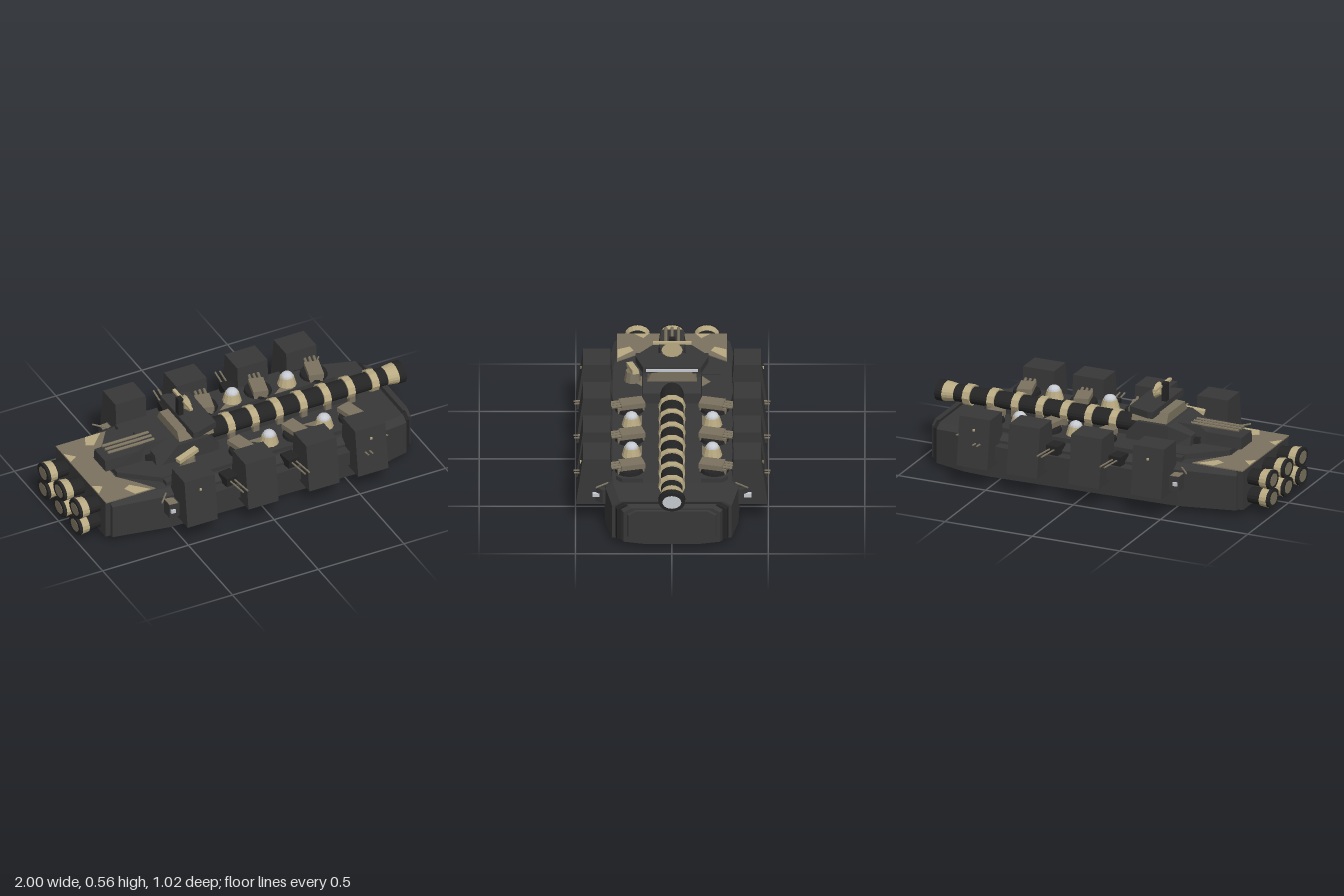
import * as THREE from 'three';

const mat = (name, color, extra = {}) => {
  const m = new THREE.MeshStandardMaterial({ color, flatShading: true, ...extra });
  m.name = name;
  return m;
};

export function createModel() {
  const root = new THREE.Group();
  root.name = 'armouredCarrier';
  const dark = mat('charcoal', 0x383838);
  const black = mat('black', 0x242424);
  const drab = mat('drab', 0x7b725f);
  const sand = mat('sand', 0xb9aa82);
  const glass = mat('paleGlass', 0xc6c9cf);

  const add = (name, geo, m, x = 0, y = 0, z = 0, parent = root) => {
    const mesh = new THREE.Mesh(geo, m);
    mesh.name = name;
    mesh.position.set(x, y, z);
    parent.add(mesh);
    return mesh;
  };
  // box given by its bounds
  const box = (name, m, x0, x1, y0, y1, z0, z1, parent) =>
    add(name, new THREE.BoxGeometry(Math.abs(x1 - x0), y1 - y0, Math.abs(z1 - z0)), m,
      (x0 + x1) / 2, (y0 + y1) / 2, (z0 + z1) / 2, parent);
  // slightly flattened tube along x from x0 (radius r0) to x1 (radius r1)
  const tubeX = (name, m, x0, x1, r0, r1, y, z, flat = 0.8, sides = 16) => {
    const g = new THREE.CylinderGeometry(r1, r0, x1 - x0, sides).rotateZ(-Math.PI / 2).scale(1, flat, 1);
    return add(name, g, m, (x0 + x1) / 2, y, z);
  };
  // outline in (z, y) extruded along x
  const prismX = (name, m, pts, x0, x1) => {
    const shape = new THREE.Shape(pts.map(p => new THREE.Vector2(...p)));
    const g = new THREE.ExtrudeGeometry(shape, { depth: x1 - x0, bevelEnabled: false });
    g.translate(0, 0, -(x1 - x0) / 2).rotateY(-Math.PI / 2);
    return add(name, g, m, (x0 + x1) / 2, 0, 0);
  };
  // outline in (x, z) extruded upwards
  const plate = (name, m, pts, y, h) => {
    const shape = new THREE.Shape(pts.map(([x, z]) => new THREE.Vector2(x, -z)));
    const g = new THREE.ExtrudeGeometry(shape, { depth: h, bevelEnabled: false }).rotateX(-Math.PI / 2);
    return add(name, g, m, 0, y, 0);
  };
  // outline mirrored across the centre line
  const both = pts => [...pts, ...pts.map(([x, z]) => [x, -z]).reverse()];
  // mirrored cross-sections [x, [[z, y] bottom to top]] skinned along x
  const loft = (name, m, sections) => {
    const rings = sections.map(([x, half]) =>
      [...half, ...half.map(([z, y]) => [-z, y]).reverse()].map(([z, y]) => [x, y, z]));
    const n = rings[0].length, pos = [];
    const tri = (...v) => v.forEach(p => pos.push(...p));
    for (let s = 0; s < rings.length - 1; s++) {
      for (let i = 0; i < n; i++) {
        const j = (i + 1) % n, a = rings[s], b = rings[s + 1];
        tri(a[i], b[i], b[j]);
        tri(a[i], b[j], a[j]);
      }
    }
    const first = rings[0], last = rings[rings.length - 1];
    for (let i = 1; i < n - 1; i++) {
      tri(first[0], first[i], first[i + 1]);
      tri(last[0], last[i + 1], last[i]);
    }
    const g = new THREE.BufferGeometry();
    g.setAttribute('position', new THREE.Float32BufferAttribute(pos, 3));
    g.computeVertexNormals();
    return add(name, g, m);
  };

  // Hull with stepped nose
  const section = (x, w, bottom, top, keel = w * 0.52, low = bottom + 0.015) =>
    [x, [[keel, bottom], [w, low], [w, top - 0.025], [w - 0.04, top]]];
  loft('hull', dark, [
    section(-0.84, 0.30, 0.02, 0.25, 0.22), section(-0.52, 0.345, 0.01, 0.25),
    section(0.55, 0.35, 0, 0.25), section(0.70, 0.345, 0.003, 0.25), section(0.87, 0.31, 0.01, 0.238),
  ]);
  loft('noseStep', black, [section(0.86, 0.295, 0.015, 0.236), section(0.90, 0.285, 0.02, 0.232)]);
  loft('nosePlate', dark, [section(0.89, 0.268, 0.012, 0.236), section(0.925, 0.25, 0.015, 0.228)]);
  loft('nosePanel', dark, [section(0.92, 0.235, 0.045, 0.222), section(0.935, 0.225, 0.05, 0.215)]);
  box('sternPlate', dark, -0.87, -0.83, 0.035, 0.25, -0.28, 0.28);

  // Camouflaged stern deck
  plate('sternDeck', drab, both([[-0.87, -0.285], [-0.58, -0.285], [-0.64, -0.2], [-0.72, -0.1]]), 0.249, 0.006);
  for (const s of [1, -1]) {
    plate('sternPatch', sand, [[-0.70, s * 0.283], [-0.61, s * 0.283], [-0.69, s * 0.2], [-0.73, s * 0.22]], 0.2545, 0.003);
    plate('sternEdgePatch', sand, [[-0.868, s * 0.12], [-0.868, s * 0.2], [-0.82, s * 0.15]], 0.2545, 0.003);
  }

  // Engines: two rows of three
  for (const y of [0.19, 0.088]) {
    for (const z of [-0.18, 0, 0.18]) {
      tubeX('engineBody', black, -0.945, -0.85, 0.056, 0.05, y, z);
      tubeX('engineBand', sand, -0.982, -0.94, 0.065, 0.06, y, z);
      tubeX('engineRim', black, -0.998, -0.98, 0.064, 0.064, y, z);
      tubeX('engineGlow', drab, -1.0, -0.99, 0.042, 0.042, y, z);
    }
  }

  // Aft deckhouse and raised side decks
  plate('aftDeckhouse', dark, both([[-0.71, -0.1], [-0.52, -0.25], [-0.4, -0.25]]), 0.249, 0.03);
  for (const s of [1, -1]) {
    plate('sideDeck', dark, [[-0.52, s * 0.29], [0.66, s * 0.29], [0.69, s * 0.26], [0.69, s * 0.15], [-0.52, s * 0.15]], 0.249, 0.024);
    for (const x of [0.07, 0.39, -0.34]) {
      plate('deckPatch', drab, [[x - 0.05, s * 0.155], [x + 0.06, s * 0.155], [x + 0.01, s * 0.2]], 0.272, 0.003);
    }
  }

  // Side sponsons, armoured pods and guns
  for (const s of [1, -1]) {
    const sponson = plate('sponson', dark, [[-0.56, s * 0.31], [-0.56, s * 0.40], [-0.50, s * 0.405], [0.66, s * 0.405], [0.70, s * 0.36], [0.70, s * 0.31]], 0.13, 0.08);
    sponson.name = s > 0 ? 'leftSponson' : 'rightSponson';
    plate('sponsonPatch', drab, [[-0.558, s * 0.33], [-0.558, s * 0.398], [-0.51, s * 0.403], [-0.51, s * 0.35]], 0.209, 0.004);
    for (const x of [-0.54, 0.675]) box('sideLamp', glass, x - 0.012, x + 0.012, 0.16, 0.18, s * 0.37, s * 0.412);
    for (const x of [-0.415, -0.06, 0.295, 0.58]) {
      prismX('armourPod', dark, [[s * 0.30, 0.11], [s * 0.498, 0.11], [s * 0.462, 0.375], [s * 0.32, 0.375]], x - 0.088, x + 0.088);
    }
    for (const x of [-0.415, 0.58]) box('podMark', sand, x - 0.006, x + 0.006, 0.305, 0.317, s * 0.47, s * 0.476);
    for (const x of [-0.19, 0.17, 0.54]) {
      const gun = new THREE.Group();
      gun.name = 'sideGun';
      gun.position.set(x, 0.24, s * 0.35);
      gun.rotation.y = s * 0.12;
      box('gunMount', black, -0.035, 0.035, -0.04, 0.02, -0.04, 0.04, gun);
      for (const d of [-0.013, 0.013]) {
        add('gunBarrel', new THREE.CylinderGeometry(0.005, 0.005, 0.16, 6).rotateX(Math.PI / 2), drab, d, 0, s * 0.08, gun);
      }
      root.add(gun);
    }
    for (const [x, d] of [[-0.57, -1], [0.69, 1]]) {
      const rod = add('cornerGun', new THREE.CylinderGeometry(0.005, 0.005, 0.09, 6).rotateX(Math.PI / 2), drab, x, 0.235, s * 0.36);
      rod.rotation.y = s * d * 0.7;
    }
  }

  // Deck turrets and sensor domes
  for (const s of [1, -1]) {
    for (const x of [-0.04, 0.275, 0.60]) {
      add('turretRing', new THREE.CylinderGeometry(0.07, 0.075, 0.022, 16), black, x, 0.28, s * 0.22);
      const turret = new THREE.Group();
      turret.name = 'deckTurret';
      turret.position.set(x, 0.29, s * 0.22);
      turret.rotation.y = s * 0.25;
      box('turretBase', drab, -0.035, 0.035, -0.015, 0.012, -0.07, 0.07, turret);
      const house = box('turretHouse', drab, -0.04, 0.04, 0.005, 0.032, -0.075, 0.05, turret);
      house.position.z = -s * 0.012;
      for (const d of [-0.025, 0, 0.025]) {
        add('turretBarrel', new THREE.CylinderGeometry(0.008, 0.008, 0.11, 8).rotateX(Math.PI / 2), drab, d, 0.022, s * 0.048, turret);
      }
      root.add(turret);
    }
    for (const x of [0.12, 0.44]) {
      add('domeBase', new THREE.CylinderGeometry(0.038, 0.052, 0.05, 12), sand, x, 0.295, s * 0.21);
      add('dome', new THREE.SphereGeometry(0.034, 12, 6, 0, Math.PI * 2, 0, Math.PI / 2).scale(1, 0.8, 1), glass, x, 0.32, s * 0.21);
    }
  }

  // Main gun with reinforcing rings and lens
  box('gunCradle', dark, -0.2, 0.72, 0.245, 0.275, -0.045, 0.045);
  tubeX('mainBarrel', black, -0.2, 0.91, 0.061, 0.056, 0.305, 0, 0.8, 20);
  for (let i = 0; i < 7; i++) {
    const x = -0.02 + i * 0.14;
    tubeX('barrelRing', sand, x - 0.02, x + 0.02, 0.069, 0.069, 0.305, 0, 0.8, 10);
    if (i < 6) box('ringFoot', drab, x - 0.018, x + 0.018, 0.25, 0.285, -0.068, 0.068);
  }
  tubeX('muzzleFlare', sand, 0.895, 0.96, 0.056, 0.066, 0.305, 0, 0.8, 20);
  tubeX('muzzleRim', black, 0.958, 0.997, 0.07, 0.068, 0.305, 0, 0.8, 20);
  tubeX('muzzleLens', glass, 0.99, 1.0, 0.049, 0.049, 0.305, 0, 0.75, 20);

  // Citadel and bridge
  loft('citadel', dark, [
    [-0.50, [[0.15, 0.25], [0.12, 0.33]]], [-0.38, [[0.155, 0.25], [0.15, 0.375]]],
    [-0.20, [[0.155, 0.25], [0.15, 0.375]]], [-0.14, [[0.155, 0.25], [0.15, 0.31]]],
  ]);
  loft('bridgeTower', drab, [
    [-0.36, [[0.13, 0.37], [0.10, 0.425]]], [-0.16, [[0.13, 0.37], [0.10, 0.435]]],
  ]);
  plate('bridge', dark, both([[-0.31, -0.188], [-0.28, -0.19], [-0.16, -0.15]]), 0.418, 0.037);
  box('bridgeWindow', glass, -0.163, -0.157, 0.428, 0.445, -0.135, 0.135);

  // Radar mast and dish
  box('radarMast', black, -0.308, -0.28, 0.45, 0.555, -0.017, 0.017);
  const dish = new THREE.CylinderGeometry(0.055, 0.03, 0.025, 12).rotateZ(-Math.PI / 2).scale(1, 0.76, 1);
  add('radarDish', dish, sand, -0.262, 0.507, 0);
  box('radarBar', sand, -0.285, -0.268, 0.53, 0.543, -0.1, 0.1);

  // Aft turret with triple barrels
  add('aftTurretRing', new THREE.CylinderGeometry(0.1, 0.105, 0.035, 20), black, -0.46, 0.295, 0);
  loft('aftTurretHouse', dark, [
    [-0.76, [[0.068, 0.28], [0.06, 0.342]]], [-0.56, [[0.072, 0.28], [0.065, 0.345]]],
    [-0.52, [[0.075, 0.28], [0.06, 0.368]]], [-0.36, [[0.075, 0.28], [0.06, 0.372]]],
  ]);
  for (const z of [-0.033, 0, 0.033]) tubeX('aftBarrel', drab, -0.73, -0.46, 0.008, 0.009, 0.368, z, 1, 8);

  // Small tilted deck gun beside the bridge
  add('lightGunBase', new THREE.CylinderGeometry(0.035, 0.045, 0.06, 10), drab, -0.35, 0.30, 0.205);
  const lightGun = box('lightGun', sand, -0.42, -0.29, 0.33, 0.352, 0.188, 0.222);
  lightGun.rotation.set(0, 0.25, 0.15);

  return root;
}
